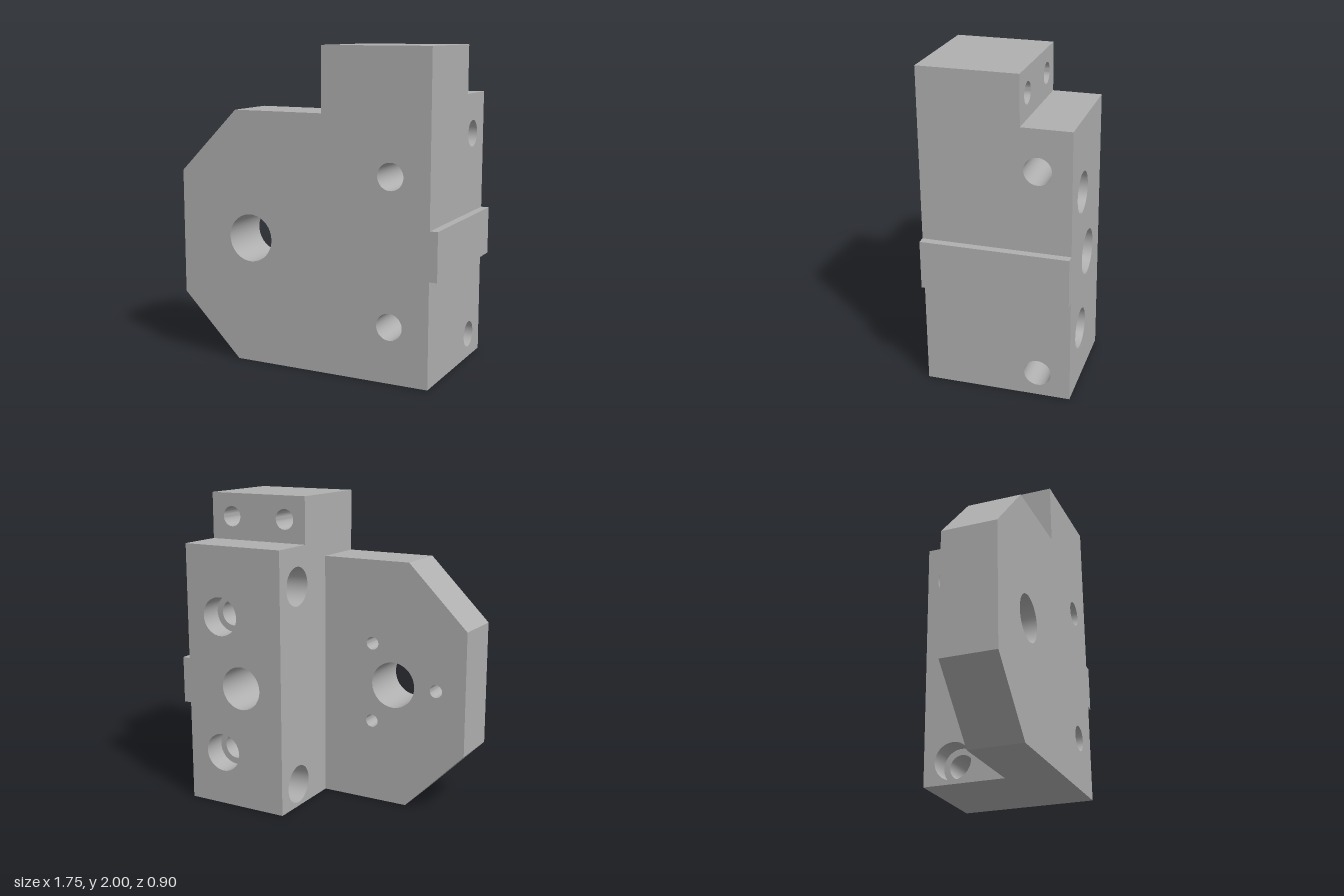
import * as THREE from 'three';
import { toCreasedNormals } from 'three/addons/utils/BufferGeometryUtils.js';

const steel = new THREE.MeshStandardMaterial({ color: 0xb0b0b0 });
steel.name = 'machined grey';

// Bore profiles: [radius, depth] from the mouth inwards
const through = (r, length) => [[r, 0], [r, length]];
const blind = (r, depth) => [[r, 0], [r, depth], [0, depth]];
const counterbore = (R, depth, r, length) => [[R, 0], [R, depth], [r, depth], [r, length]];

// Bore wall that opens towards +z and is seen from inside
function makeBore(profile) {
  const pts = profile.map(([r, d]) => new THREE.Vector2(r, -d));
  const geo = toCreasedNormals(new THREE.LatheGeometry(pts, 48), 0.6);
  geo.rotateX(Math.PI / 2);
  const mesh = new THREE.Mesh(geo, steel);
  mesh.name = 'bore';
  return mesh;
}

// Flat face with holes; a hole is [u, v, profile] or [u, v, radius] for an exit
function makeFace(name, outline, holes, angle, x, z) {
  const group = new THREE.Group();
  group.name = name;
  const shape = new THREE.Shape(outline.map(([u, v]) => new THREE.Vector2(u, v)));
  for (const [u, v, spec] of holes) {
    const isBore = Array.isArray(spec);
    const r = isBore ? spec[0][0] : spec;
    shape.holes.push(new THREE.Path().absarc(u, v, r, 0, Math.PI * 2, true));
    if (isBore) {
      const bore = makeBore(spec);
      bore.position.set(u, v, 0);
      group.add(bore);
    }
  }
  const face = new THREE.Mesh(new THREE.ShapeGeometry(shape, 24), steel);
  face.name = name + 'Surface';
  group.add(face);
  group.rotation.y = angle;
  group.position.set(x, 0, z);
  return group;
}

// Flat walls swept along z below a polyline in x and y
function makeWalls(name, line, z0, z1) {
  const pos = [];
  for (let i = 0; i + 1 < line.length; i++) {
    const [a, b] = [line[i], line[i + 1]];
    pos.push(...a, z0, ...b, z0, ...b, z1, ...a, z0, ...b, z1, ...a, z1);
  }
  const geo = new THREE.BufferGeometry();
  geo.setAttribute('position', new THREE.Float32BufferAttribute(pos, 3));
  geo.computeVertexNormals();
  const mesh = new THREE.Mesh(geo, steel);
  mesh.name = name;
  return mesh;
}

export function createModel() {
  const model = new THREE.Group();
  model.name = 'mountingBlock';
  const L = 0.125, R = 0.825, F = 0.45;           // block sides and half depth
  const plateBack = 0.1, stepBack = -0.15;
  const boltR = 0.083, headR = 0.125, headDepth = 0.15;
  const boltY = [0.35, 1.25], crossY = [0.15, 1.45];

  // Chamfered edge of the side plate, from its top round to its bottom
  const rim = [[L, 1.6], [-0.475, 1.6], [-0.875, 1.2], [-0.875, 0.4], [-0.475, 0], [L, 0]];

  // Front face of plate and block together
  model.add(makeFace('frontFace', [...rim, [R, 0], [R, 2], [L, 2]], [
    [-0.375, 0.8, through(0.15, F - plateBack)],
    ...boltY.map((y) => [0.575, y, boltR]),
  ], 0, 0, F));

  // Back of the plate: shaft hole and three tapped holes around it
  const tapped = [0, 1, 2].map((i) => {
    const a = i * Math.PI * 2 / 3;
    return [0.375 + 0.3 * Math.cos(a), 0.8 + 0.3 * Math.sin(a), blind(0.042, 0.2)];
  });
  model.add(makeFace('plateBack', rim.map(([x, y]) => [-x, y]),
    [[0.375, 0.8, 0.15], ...tapped], Math.PI, 0, plateBack));

  // Back of the block: two counterbored bolts and a blind centre bore
  model.add(makeFace('blockBack', [[-R, 0], [-L, 0], [-L, 1.7], [-R, 1.7]], [
    ...boltY.map((y) => [-0.575, y, counterbore(headR, headDepth, boltR, 2 * F)]),
    [-0.425, 0.8, blind(0.14, 0.6)],
  ], Math.PI, 0, -F));

  // Back of the raised top, with two tapped holes
  model.add(makeFace('raisedTopBack', [[-R, 1.7], [-L, 1.7], [-L, 2], [-R, 2]],
    [0.275, 0.675].map((x) => [-x, 1.85, blind(0.065, 0.3)]), Math.PI, 0, stepBack));

  // Block sides, with counterbored cross holes
  model.add(makeFace('blockRightSide', [[-F, 0], [plateBack, 0], [plateBack, 1.6], [F, 1.6],
    [F, 2], [stepBack, 2], [stepBack, 1.7], [-F, 1.7]],
    crossY.map((y) => [-0.25, y, counterbore(headR, headDepth, boltR, R - L)]),
    -Math.PI / 2, L, 0));
  model.add(makeFace('blockLeftSide', [[-F, 0], [F, 0], [F, 1.7], [-stepBack, 1.7],
    [-stepBack, 2], [-F, 2]],
    crossY.map((y) => [0.25, y, boltR]), Math.PI / 2, R, 0));

  // Edges, top, ledge and underside
  model.add(makeWalls('plateRim', rim, plateBack, F));
  model.add(makeWalls('blockUnderside', [[L, 0], [R, 0]], -F, F));
  model.add(makeWalls('raisedTop', [[R, 2], [L, 2]], stepBack, F));
  model.add(makeWalls('backLedge', [[R, 1.7], [L, 1.7]], -F, stepBack));

  // Locating key along the left side
  const key = new THREE.Mesh(new THREE.BoxGeometry(0.05, 0.3, 2 * F), steel);
  key.name = 'locatingKey';
  key.position.set(R + 0.025, 0.803, 0);
  model.add(key);
  return model;
}
